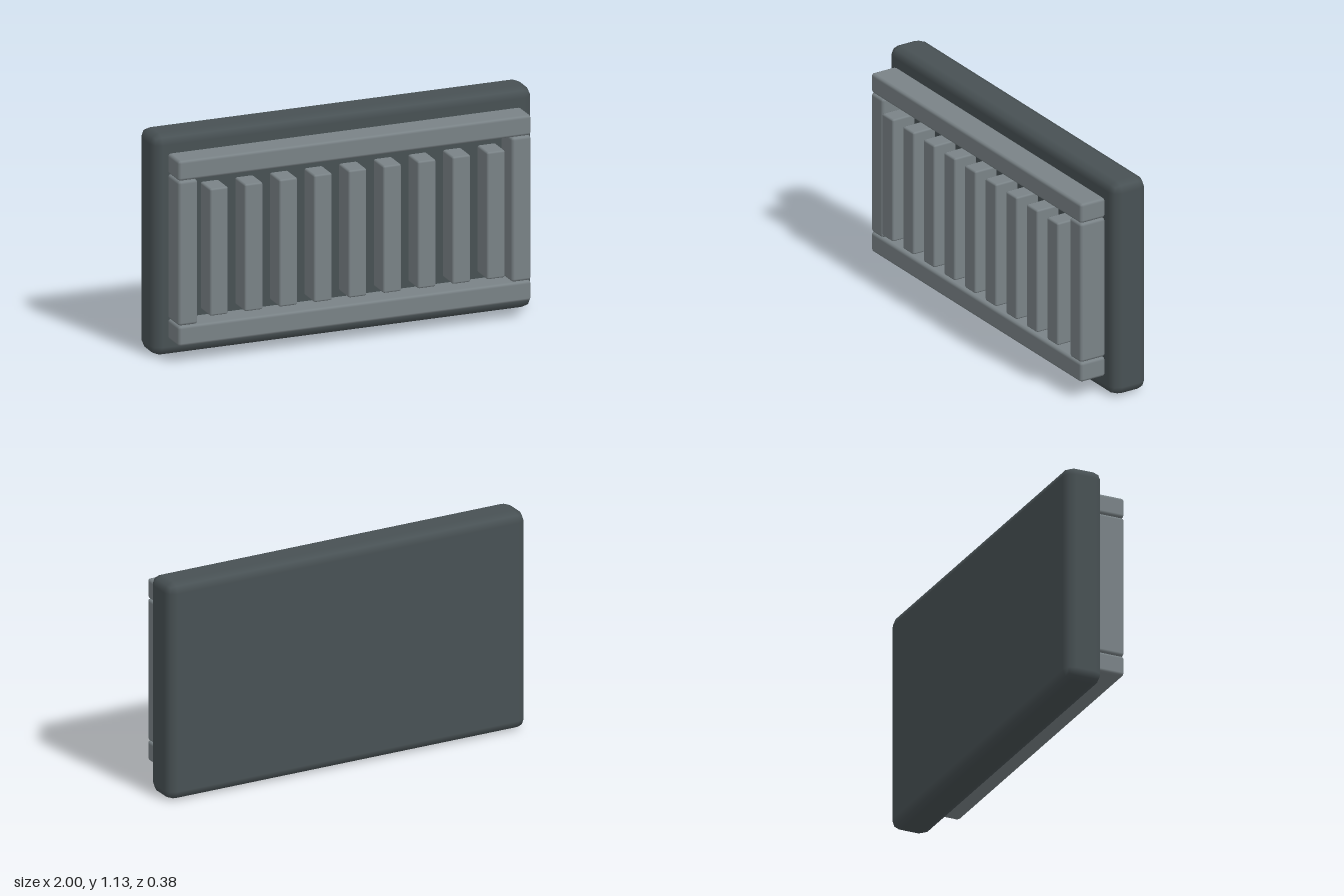
import * as THREE from 'three';
import { RoundedBoxGeometry } from 'three/addons/geometries/RoundedBoxGeometry.js';

export function createModel() {
  const model = new THREE.Group();
  model.name = 'ventPanel';

  const darkSlate = new THREE.MeshStandardMaterial({ name: 'dark slate', color: 0x485154 });
  const greyMetal = new THREE.MeshStandardMaterial({ name: 'grey metal', color: 0x7a8387 });

  // Bevelled block given by its min and max corners
  function block(name, min, max, radius, material, parent = model) {
    const size = max.map((v, i) => v - min[i]);
    const mesh = new THREE.Mesh(new RoundedBoxGeometry(...size, 1, radius), material);
    mesh.position.set(...max.map((v, i) => (v + min[i]) / 2));
    mesh.name = name;
    parent.add(mesh);
  }

  // Thick backing panel
  block('backPanel', [-1, 0, -0.19], [1, 1.135, 0.01], 0.05, darkSlate);

  // Frame: two long rails with two stiles between them
  const frame = new THREE.Group();
  frame.name = 'frame';
  model.add(frame);
  block('bottomRail', [-0.928, 0.095, 0.01], [0.928, 0.199, 0.155], 0.015, greyMetal, frame);
  block('topRail', [-0.928, 0.942, 0.01], [0.928, 1.046, 0.155], 0.015, greyMetal, frame);
  block('rightStile', [-0.928, 0.2, 0.01], [-0.825, 0.941, 0.155], 0.015, greyMetal, frame);
  block('leftStile', [0.825, 0.2, 0.01], [0.928, 0.941, 0.155], 0.015, greyMetal, frame);

  // Nine upright slats standing proud of the frame
  const slats = new THREE.Group();
  slats.name = 'slats';
  model.add(slats);
  for (let i = 0; i < 9; i++) {
    const x = (i - 4) * 0.182;
    block(`slat${i + 1}`, [x - 0.048, 0.244, 0.06], [x + 0.048, 0.896, 0.19], 0.01, greyMetal, slats);
  }

  return model;
}
